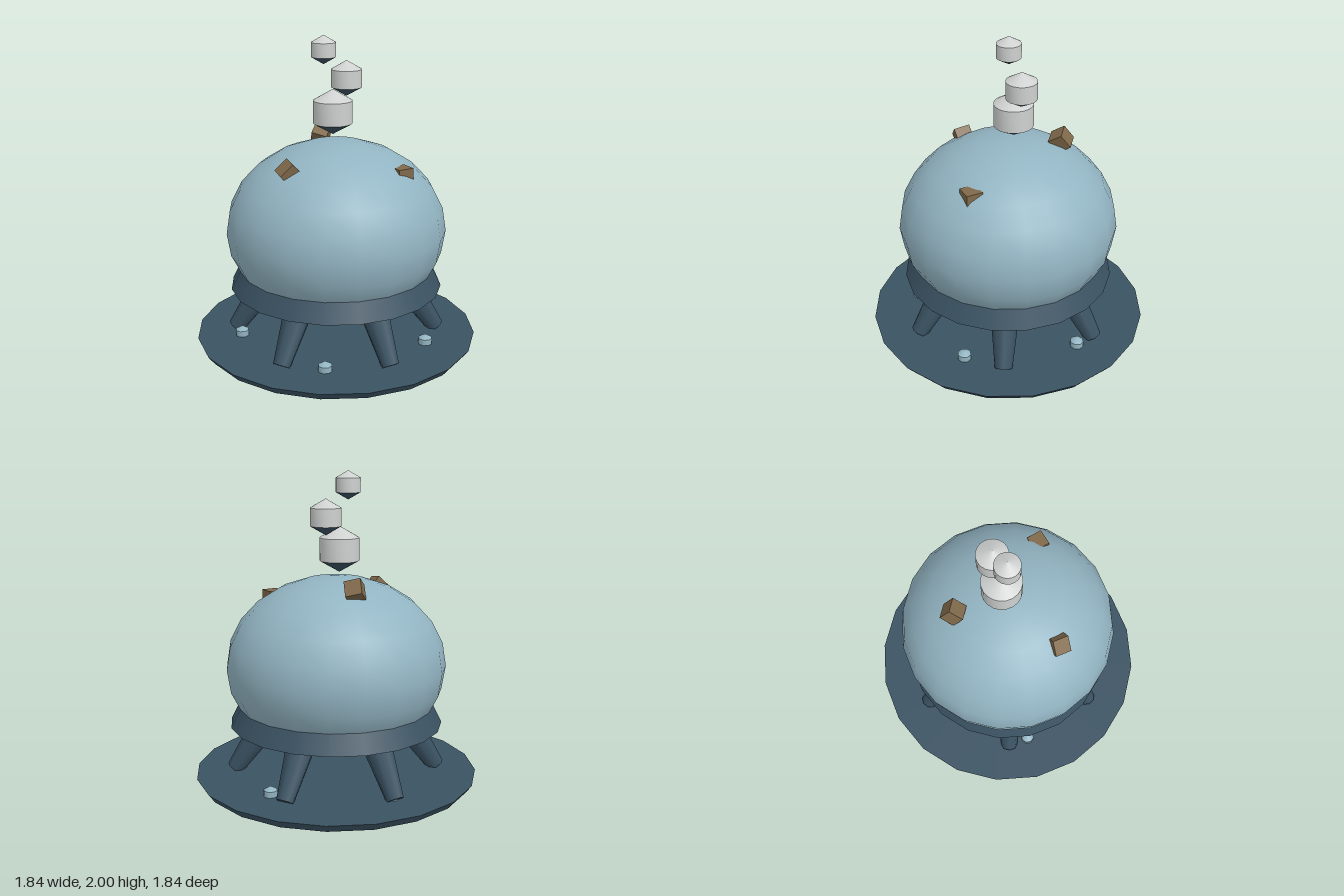
import * as THREE from 'three';
import { toCreasedNormals } from 'three/addons/utils/BufferGeometryUtils.js';

function material(name, color) {
  const m = new THREE.MeshStandardMaterial({ color });
  m.name = name;
  return m;
}

export function createModel() {
  const model = new THREE.Group();
  model.name = 'domedPod';
  const shell = material('pale blue', 0x92b4c2);
  const navy = material('dark slate blue', 0x3a5262);
  const steam = material('light grey', 0xcfd1d1);
  const rust = material('brown', 0x80694a);

  function add(name, geometry, mat, x = 0, y = 0, z = 0, parent = model) {
    const mesh = new THREE.Mesh(geometry, mat);
    mesh.name = name;
    mesh.position.set(x, y, z);
    parent.add(mesh);
    return mesh;
  }

  // Base plate and collar
  add('basePlate', new THREE.CylinderGeometry(0.92, 0.88, 0.053, 20), navy, 0, 0.0265, 0);
  add('collar', new THREE.CylinderGeometry(0.63, 0.69, 0.12, 20), navy, 0, 0.44, 0);

  // Flattened round body
  add('body', new THREE.SphereGeometry(0.71, 20, 12), shell, 0, 0.76, 0).scale.y = 0.817;

  // Six splayed, tapered legs
  const foot = new THREE.Vector3(0, 0.057, 0.667);
  const hip = new THREE.Vector3(0, 0.44, 0.407);
  const axis = hip.clone().sub(foot);
  const legGeometry = new THREE.CylinderGeometry(0.105, 0.056, axis.length(), 8);
  for (let i = 0; i < 6; i++) {
    const pivot = new THREE.Group();
    pivot.name = 'leg' + (i + 1);
    pivot.rotation.y = i * Math.PI / 3;
    model.add(pivot);
    const mid = foot.clone().add(hip).multiplyScalar(0.5);
    const leg = add('legStrut', legGeometry, navy, mid.x, mid.y, mid.z, pivot);
    leg.quaternion.setFromUnitVectors(new THREE.Vector3(0, 1, 0), axis.clone().normalize());
  }

  // Five studs around the base plate
  const studGeometry = toCreasedNormals(new THREE.SphereGeometry(0.051, 8, 3), 0.85);
  for (let i = 0; i < 5; i++) {
    const a = Math.PI * (0.3 + 0.4 * i);
    add('stud' + (i + 1), studGeometry, shell, 0.63 * Math.cos(a), 0.066, 0.63 * Math.sin(a));
  }

  // Rising puffs: a capped drum with a dark conical underside
  [[0, 1.515, 0.145], [0.1, 1.72, 0.113], [-0.065, 1.91, 0.09]].forEach(([x, y, r], i) => {
    const puff = new THREE.Group();
    puff.name = 'puff' + (i + 1);
    puff.position.set(x, y, -0.04);
    model.add(puff);
    const top = new THREE.SphereGeometry(r, 20, 2, 0, Math.PI * 2, 0, Math.PI * 2 / 3);
    add('puffTop', toCreasedNormals(top, 0.7), steam, 0, 0, 0, puff);
    const under = new THREE.ConeGeometry(r * 0.866, r / 2, 20, 1, true).rotateX(Math.PI);
    add('puffUnderside', under, navy, 0, -0.75 * r, 0, puff);
  });

  // Brown blocks half sunk in the body
  const block = new THREE.BoxGeometry(0.104, 0.104, 0.104);
  add('blockFront', block, rust, 0.25, 1.163, 0.378);
  add('blockRight', block, rust, -0.4, 1.21, 0.123).rotation.set(0.15, -0.1, -0.8);
  add('blockBack', block, rust, 0.08, 1.3, -0.338).rotation.set(0.35, 0.8, 0.35);

  return model;
}
